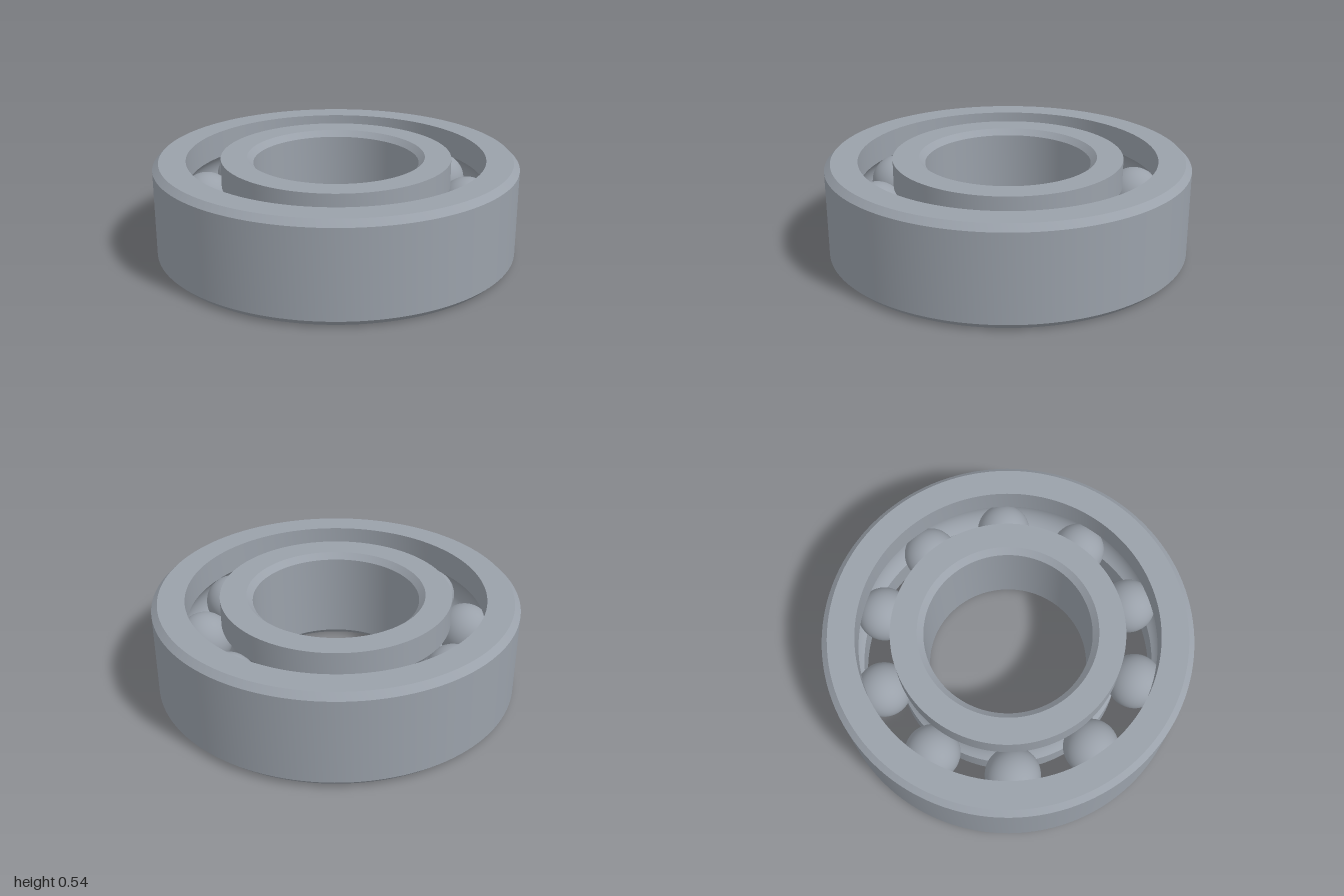
import * as THREE from 'three';
import { toCreasedNormals } from 'three/addons/utils/BufferGeometryUtils.js';

const HEIGHT = 0.544, MID = HEIGHT / 2, CHAMFER = 0.033;
const PITCH = 0.727, BALL = 0.151, BALLS = 10;
const BORE = 0.455, INNER_LAND = 0.632, OUTER_LAND = 0.82, OUTER = 1;

// Raceway arc cut into a ring wall of radius r, hugging the balls
function raceway(r, side, steps = 16) {
  const half = Math.acos(Math.abs(r - PITCH) / BALL);
  return Array.from({ length: steps + 1 }, (_, i) => {
    const a = -half + (2 * half * i) / steps;
    return [PITCH + side * BALL * Math.cos(a), MID + BALL * Math.sin(a)];
  });
}

// Revolve a closed counter-clockwise (radius, height) profile
function ring(name, profile, material) {
  const points = [...profile, profile[0]].map(([r, y]) => new THREE.Vector2(r, y));
  const geometry = toCreasedNormals(new THREE.LatheGeometry(points, 128), 0.5);
  const mesh = new THREE.Mesh(geometry, material);
  mesh.name = name;
  return mesh;
}

export function createModel() {
  const group = new THREE.Group();
  group.name = 'ballBearing';
  const steel = new THREE.MeshStandardMaterial({ color: 0x9aa1aa });
  steel.name = 'steel';

  // Outer ring: chamfered outside, raceway inside
  group.add(ring('outerRing', [
    [OUTER_LAND, 0],
    [OUTER - CHAMFER, 0], [OUTER, CHAMFER],
    [OUTER, HEIGHT - CHAMFER], [OUTER - CHAMFER, HEIGHT],
    [OUTER_LAND, HEIGHT],
    ...raceway(OUTER_LAND, 1).reverse(),
  ], steel));

  // Inner ring: raceway outside, chamfered bore
  group.add(ring('innerRing', [
    [BORE + CHAMFER, 0], [INNER_LAND, 0],
    ...raceway(INNER_LAND, -1),
    [INNER_LAND, HEIGHT], [BORE + CHAMFER, HEIGHT],
    [BORE, HEIGHT - CHAMFER], [BORE, CHAMFER],
  ], steel));

  // Balls evenly spaced in the raceway
  const balls = new THREE.Group();
  balls.name = 'balls';
  const sphere = new THREE.SphereGeometry(BALL, 40, 24);
  for (let i = 0; i < BALLS; i++) {
    const a = THREE.MathUtils.degToRad(12 + (360 / BALLS) * i);
    const ball = new THREE.Mesh(sphere, steel);
    ball.name = `ball${i + 1}`;
    ball.position.set(PITCH * Math.cos(a), MID, PITCH * Math.sin(a));
    balls.add(ball);
  }
  group.add(balls);
  return group;
}
